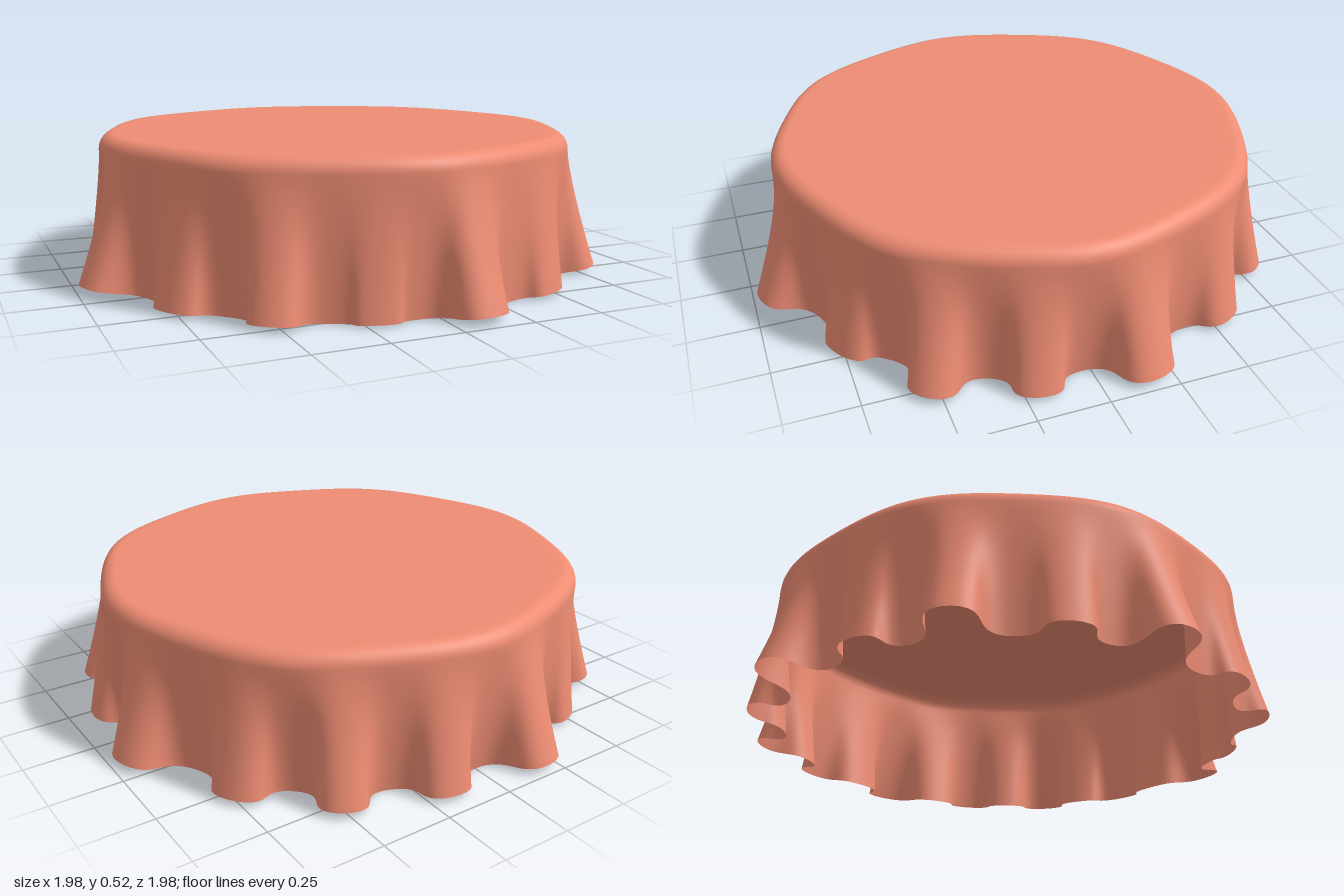
import * as THREE from 'three';

// Hem folds as [angle in degrees from +x towards +z, radius of the crest]
const FOLDS = [
  [-10, 1.0], [13, 0.95], [34, 0.985], [57, 0.92], [84, 0.99], [104, 0.885],
  [125, 0.95], [147.5, 0.93], [172.5, 1.0], [192.5, 0.925], [216, 0.99],
  [236, 0.93], [258.5, 1.01], [281, 0.965], [302.5, 0.985], [323, 0.965],
];
const VALLEY = 0.835, TOP = 0.53, HEM = 0.01, ROUND = 0.055, HALF = 14;

// Slightly uneven outline of the flat top
const rimRadius = a => 0.873 + 0.006 * Math.cos(a) - 0.016 * Math.sin(a) + 0.009 * Math.cos(8 * a);

// Columns around the cloth: valley to crest to valley for every fold
function makeColumns() {
  const cols = [], n = FOLDS.length;
  const angle = i => FOLDS[(i + n) % n][0] + 360 * Math.floor(i / n);
  for (let i = 0; i < n; i++) {
    const mid = angle(i);
    const start = (angle(i - 1) + mid) / 2, end = (mid + angle(i + 1)) / 2;
    for (let k = 0; k < 2 * HALF; k++) {
      const rising = k < HALF;
      const s = rising ? k / HALF : (k - HALF) / HALF;
      const phase = Math.PI * (rising ? s : 1 + s);
      const from = rising ? start : mid, to = rising ? mid : end;
      const deg = Math.PI / 180;
      cols.push({
        angle: (from + (to - from) * s) * deg,
        lean: (to - from) * 0.12 * Math.sin(2 * phase) * deg, // steepens fold sides
        lift: (1 - Math.cos(phase)) / 2,
        crest: FOLDS[i][1],
      });
    }
  }
  return cols;
}

// Rows from the centre of the top, over the rounded rim, down to the hem
function makeRows() {
  const rows = [];
  for (const f of [0, 0.35, 0.7, 0.93]) rows.push({ scale: f, inset: ROUND, y: TOP, drop: 0 });
  for (let k = 0; k <= 7; k++) {
    const a = (k / 7) * Math.PI / 2;
    rows.push({ scale: 1, inset: ROUND * (1 - Math.sin(a)), y: TOP - ROUND * (1 - Math.cos(a)), drop: 0 });
  }
  for (let k = 1; k <= 16; k++) rows.push({ scale: 1, inset: 0, y: TOP - ROUND, drop: k / 16 });
  return rows;
}

function clothGeometry() {
  const cols = makeColumns(), rows = makeRows(), n = cols.length;
  const position = [], index = [];
  rows.forEach((row, j) => {
    for (const c of cols) {
      // Folds open gradually below the rim
      const open = Math.pow(row.drop, 1.25);
      const a = c.angle + c.lean * open;
      const rim = (rimRadius(a) - row.inset) * row.scale;
      const hem = VALLEY + (c.crest - VALLEY) * c.lift;
      const r = rim + (hem - rim) * open;
      const hemY = HEM + 0.2 * Math.max(0, c.crest - 0.85) * c.lift;
      const y = row.y + (hemY - row.y) * row.drop;
      position.push(r * Math.cos(a), y, r * Math.sin(a));
    }
    if (j === 0) return;
    for (let i = 0; i < n; i++) {
      const i2 = (i + 1) % n, up = (j - 1) * n, down = j * n;
      if (j > 1) index.push(up + i, up + i2, down + i);
      index.push(up + i2, down + i2, down + i);
    }
  });
  const g = new THREE.BufferGeometry();
  g.setAttribute('position', new THREE.Float32BufferAttribute(position, 3));
  g.setIndex(index);
  g.computeVertexNormals();
  return g;
}

export function createModel() {
  const model = new THREE.Group();
  model.name = 'roundTablecloth';
  // One open sheet: flat top, rounded rim and pleated skirt
  const cloth = new THREE.Mesh(
    clothGeometry(),
    new THREE.MeshStandardMaterial({ color: 0xee8c73, side: THREE.DoubleSide })
  );
  cloth.name = 'drapedCloth';
  model.add(cloth);
  return model;
}
